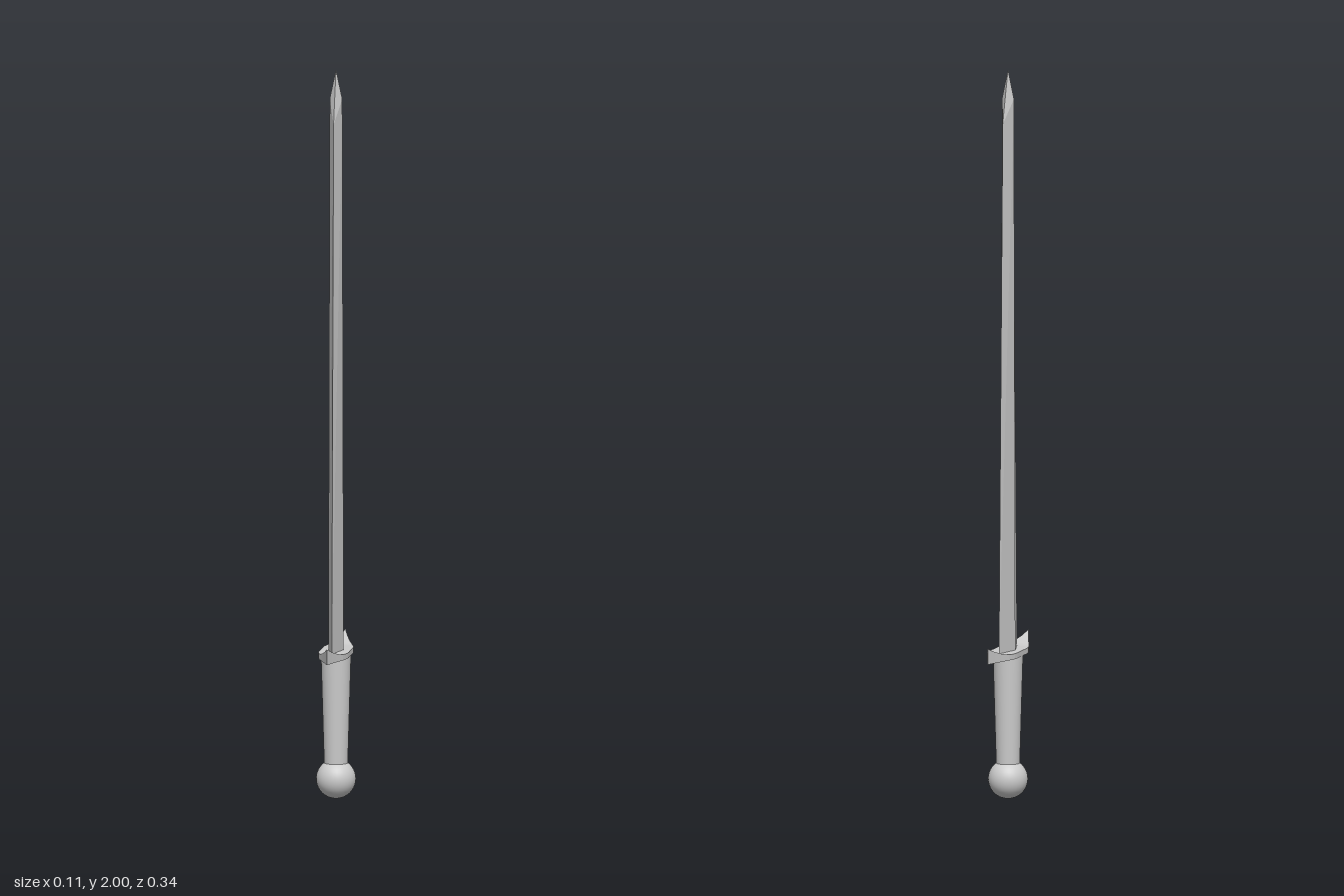
import * as THREE from 'three';

const material = new THREE.MeshStandardMaterial({ color: 0xcccccc });
const flatMaterial = new THREE.MeshStandardMaterial({ color: 0xcccccc, flatShading: true });

// Skins a row of four-point rings, each anticlockwise seen from the far end
function loft(rings) {
  const pos = [];
  const quad = (a, b, c, d) => pos.push(...a, ...b, ...c, ...a, ...c, ...d);
  for (let i = 0; i < rings.length - 1; i++) {
    for (let j = 0; j < 4; j++) {
      const k = (j + 1) % 4;
      quad(rings[i][j], rings[i][k], rings[i + 1][k], rings[i + 1][j]);
    }
  }
  const first = rings[0], last = rings[rings.length - 1];
  quad(first[3], first[2], first[1], first[0]);
  quad(last[0], last[1], last[2], last[3]);
  const geometry = new THREE.BufferGeometry();
  geometry.setAttribute('position', new THREE.Float32BufferAttribute(pos, 3));
  geometry.computeVertexNormals();
  return geometry;
}

// Diamond section: ridges at +-x, cutting edges at +-z
const diamond = (x, ridgeY, z, edgeY) =>
  [[x, ridgeY, 0], [0, edgeY, -z], [-x, ridgeY, 0], [0, edgeY, z]];

export function createModel() {
  const group = new THREE.Group();
  const add = (name, geometry, mat, y = 0) => {
    const mesh = new THREE.Mesh(geometry, mat);
    mesh.name = name;
    mesh.position.y = y;
    group.add(mesh);
  };

  // Round pommel
  add('pommel', new THREE.SphereGeometry(0.054, 32, 20), material, 0.054);

  // Grip widening towards the guard
  add('grip', new THREE.CylinderGeometry(0.041, 0.032, 0.305, 32), material, 0.2475);

  // Guard with a flat underside, pointed and raised at both ends: [z, half width, top]
  const half = [
    [0.04, 0.041, 0.408], [0.055, 0.0395, 0.408], [0.07, 0.036, 0.408], [0.083, 0.032, 0.409],
    [0.095, 0.027, 0.411], [0.115, 0.019, 0.416], [0.14, 0.01, 0.424], [0.168, 0.0005, 0.436],
  ];
  const stations = [...half.map(([z, w, t]) => [-z, w, t]).reverse(), ...half];
  const bottom = 0.393;
  add('guard', loft(stations.map(([z, w, top]) =>
    [[w, bottom, z], [w, top, z], [-w, top, z], [-w, bottom, z]])), flatMaterial);

  // Tapering blade with a central ridge and a pointed tip
  add('blade', loft([
    diamond(0.021, 0.4, 0.075, 0.4),
    diamond(0.017, 1.92, 0.044, 1.855),
    diamond(0.0002, 2, 0.0002, 2),
  ]), flatMaterial);

  return group;
}
